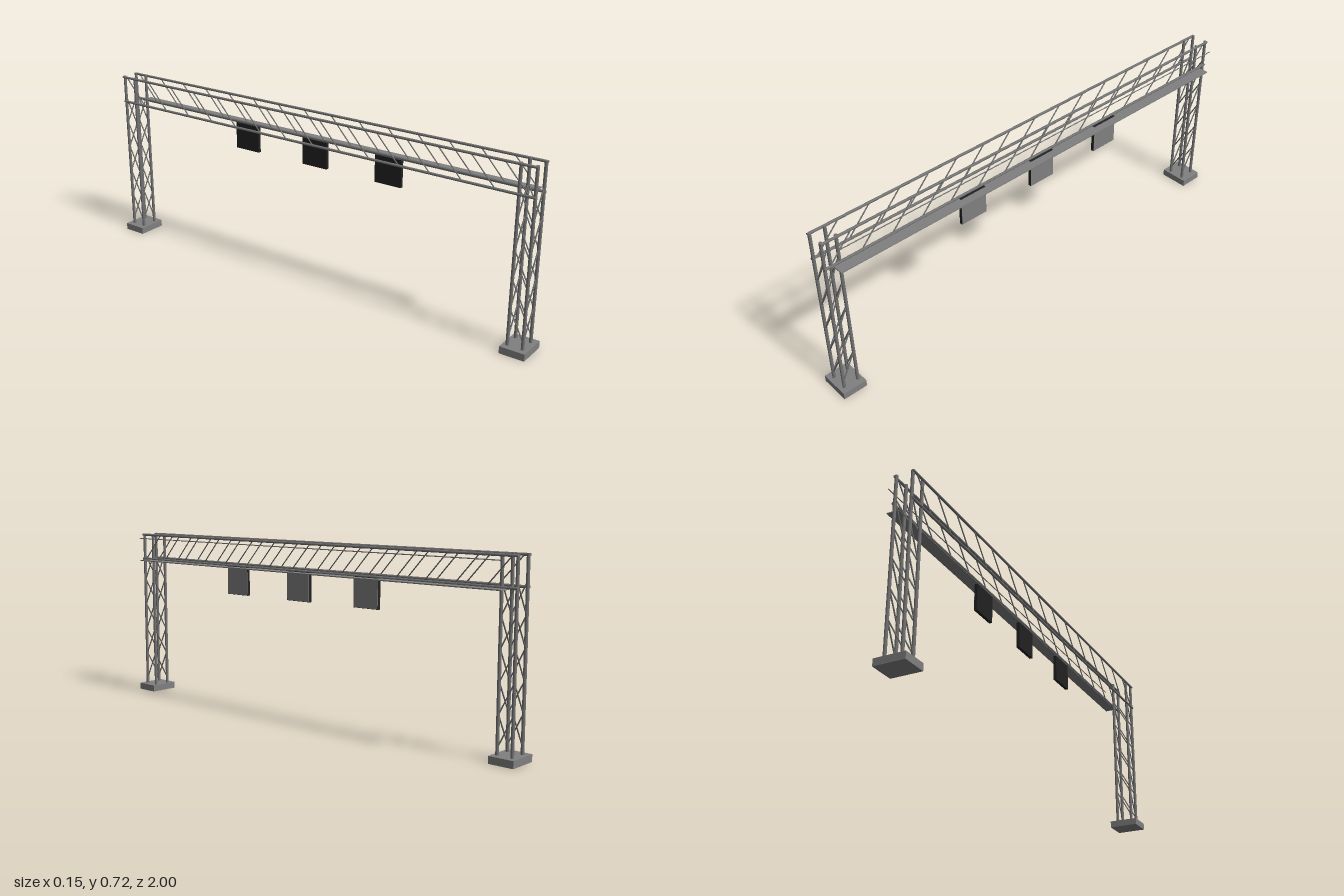
import * as THREE from 'three';

export function createModel() {
  const root = new THREE.Group();
  root.name = 'gantry';
  const mat = (name, color) => Object.assign(new THREE.MeshStandardMaterial({ color }), { name });
  const grey = mat('plain grey', 0x808080);
  const steel = mat('steel grey', 0x747474);
  const black = mat('panel black', 0x222222);

  const cx = -0.0135; // centre line of the frame
  const top = 0.722;

  function box(parent, name, m, size, pos) {
    const mesh = new THREE.Mesh(new THREE.BoxGeometry(...size), m);
    mesh.position.set(...pos);
    mesh.name = name;
    parent.add(mesh);
  }

  // Round bar between two points
  function bar(parent, name, a, b, r, sides = 8) {
    const p = new THREE.Vector3(...a), q = new THREE.Vector3(...b);
    const d = q.clone().sub(p);
    const mesh = new THREE.Mesh(new THREE.CylinderGeometry(r, r, d.length(), sides), steel);
    mesh.position.copy(p).add(q).multiplyScalar(0.5);
    mesh.quaternion.setFromUnitVectors(new THREE.Vector3(0, 1, 0), d.normalize());
    mesh.name = name;
    parent.add(mesh);
  }

  // Lattice towers: footing, four legs and parallel diagonals on each face
  const hx = 0.033, hz = 0.03;
  for (const side of [1, -1]) {
    const tower = new THREE.Group();
    tower.name = side > 0 ? 'frontTower' : 'backTower';
    root.add(tower);
    const cz = side * 0.948;
    box(tower, 'footing', grey, [0.123, 0.028, 0.1], [cx, 0.014, side * 0.95]);
    for (const sx of [-1, 1]) for (const sz of [-1, 1]) {
      const x = cx + sx * hx, z = cz + sz * hz;
      bar(tower, 'leg', [x, 0.028, z], [x, top, z], 0.0064, 12);
    }
    for (let i = 0; i < 5; i++) {
      const y0 = 0.054 + i * 0.1137, y1 = y0 + 0.12;
      for (const s of [-1, 1]) {
        bar(tower, 'towerBrace', [cx - hx, y0, cz + s * hz], [cx + hx, y1, cz + s * hz], 0.0028, 6);
        bar(tower, 'towerBrace', [cx + s * hx, y0, cz + hz], [cx + s * hx, y1, cz - hz], 0.0028, 6);
      }
    }
  }

  // Overhead truss: four chords with diagonals on both sides
  const truss = new THREE.Group();
  truss.name = 'truss';
  root.add(truss);
  const yLow = 0.608, yHigh = 0.717;
  for (const s of [-1, 1]) {
    const x = cx + s * 0.038;
    for (const y of [yLow, yHigh]) bar(truss, 'chord', [x, y, -0.983], [x, y, 0.983], 0.0053, 10);
    for (let i = -7; i <= 7; i++) {
      const z = i * 0.13;
      bar(truss, 'trussBrace', [x, yLow, z + 0.05], [x, yHigh, z - 0.05], 0.0025, 6);
    }
  }

  // Walkway and handrail along the +x side
  box(root, 'walkway', grey, [0.049, 0.004, 1.895], [0.0475, 0.603, 0]);
  bar(root, 'handrail', [0.072, 0.703, -0.947], [0.072, 0.703, 0.947], 0.002, 6);

  // Hanging sign panels with a pale face
  for (const z of [-0.345, 0, 0.345]) {
    const sign = new THREE.Group();
    sign.name = 'sign';
    root.add(sign);
    box(sign, 'signBody', black, [0.013, 0.117, 0.118], [0.0325, 0.5475, z]);
    box(sign, 'signFace', grey, [0.001, 0.115, 0.116], [0.0395, 0.5475, z]);
  }
  return root;
}
